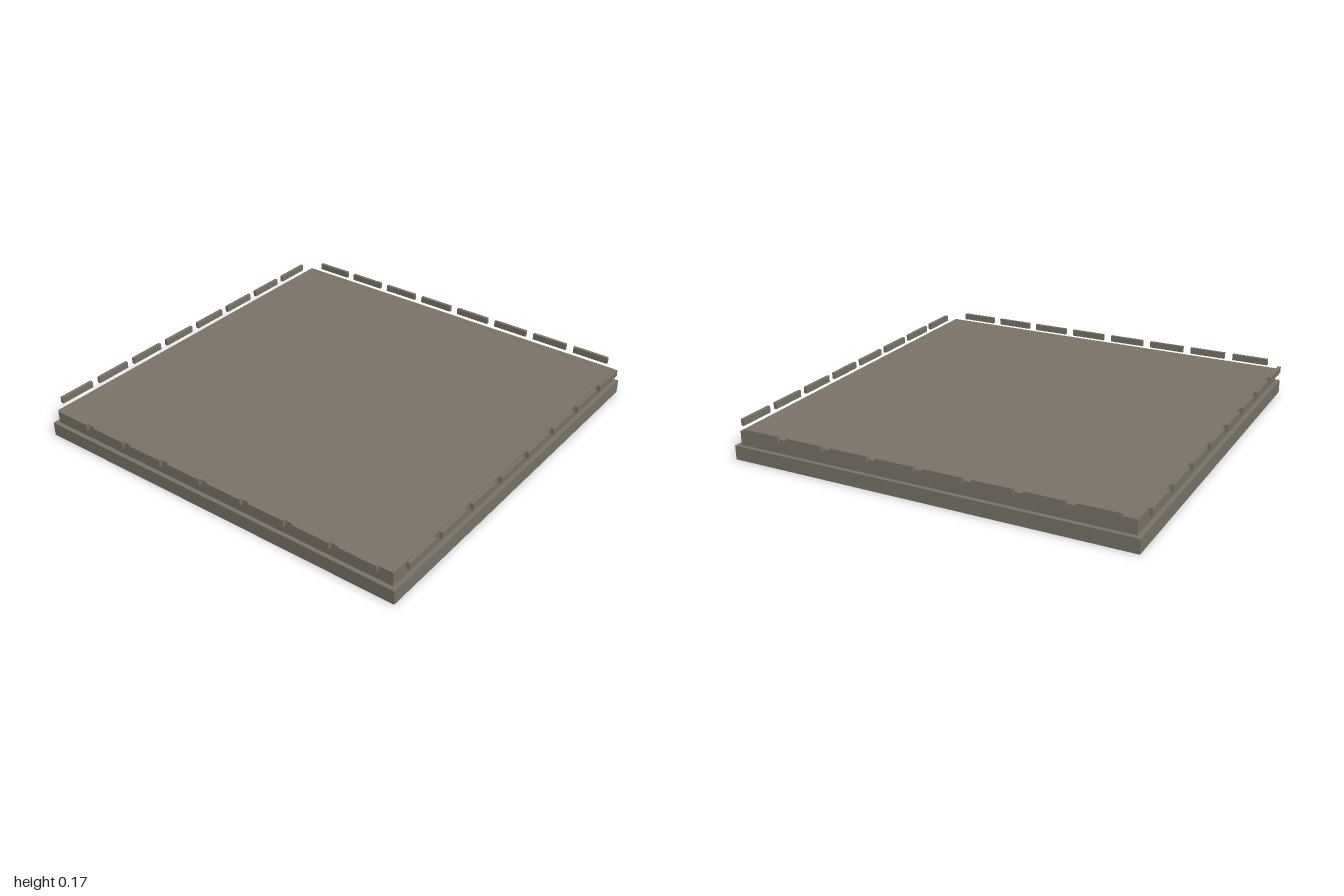
import * as THREE from 'three';

export function createModel() {
  const model = new THREE.Group();
  const stone = new THREE.MeshStandardMaterial({ color: 0x7a7468, flatShading: true });

  function box(name, w, h, d, x, y, z, parent = model) {
    const mesh = new THREE.Mesh(new THREE.BoxGeometry(w, h, d), stone);
    mesh.name = name;
    mesh.position.set(x, y + h / 2, z);
    parent.add(mesh);
    return mesh;
  }

  // Two stepped slabs
  box('baseSlab', 1.964, 0.068, 1.964, 0, 0, 0);
  box('upperSlab', 1.922, 0.068, 1.922, 0, 0.068, 0);

  // A row of eight edge blocks, turned to each of the four sides
  const count = 8, pitch = 0.2325, thickness = 0.016;
  ['front', 'left', 'back', 'right'].forEach((side, s) => {
    const row = new THREE.Group();
    row.name = side + 'EdgeBlocks';
    row.rotation.y = s * Math.PI / 2;
    for (let i = 0; i < count; i++) {
      const x = (i - (count - 1) / 2) * pitch;
      box('edgeBlock', 0.188, 0.032, thickness, x, 0.136, 1 - thickness / 2, row);
    }
    model.add(row);
  });

  return model;
}
